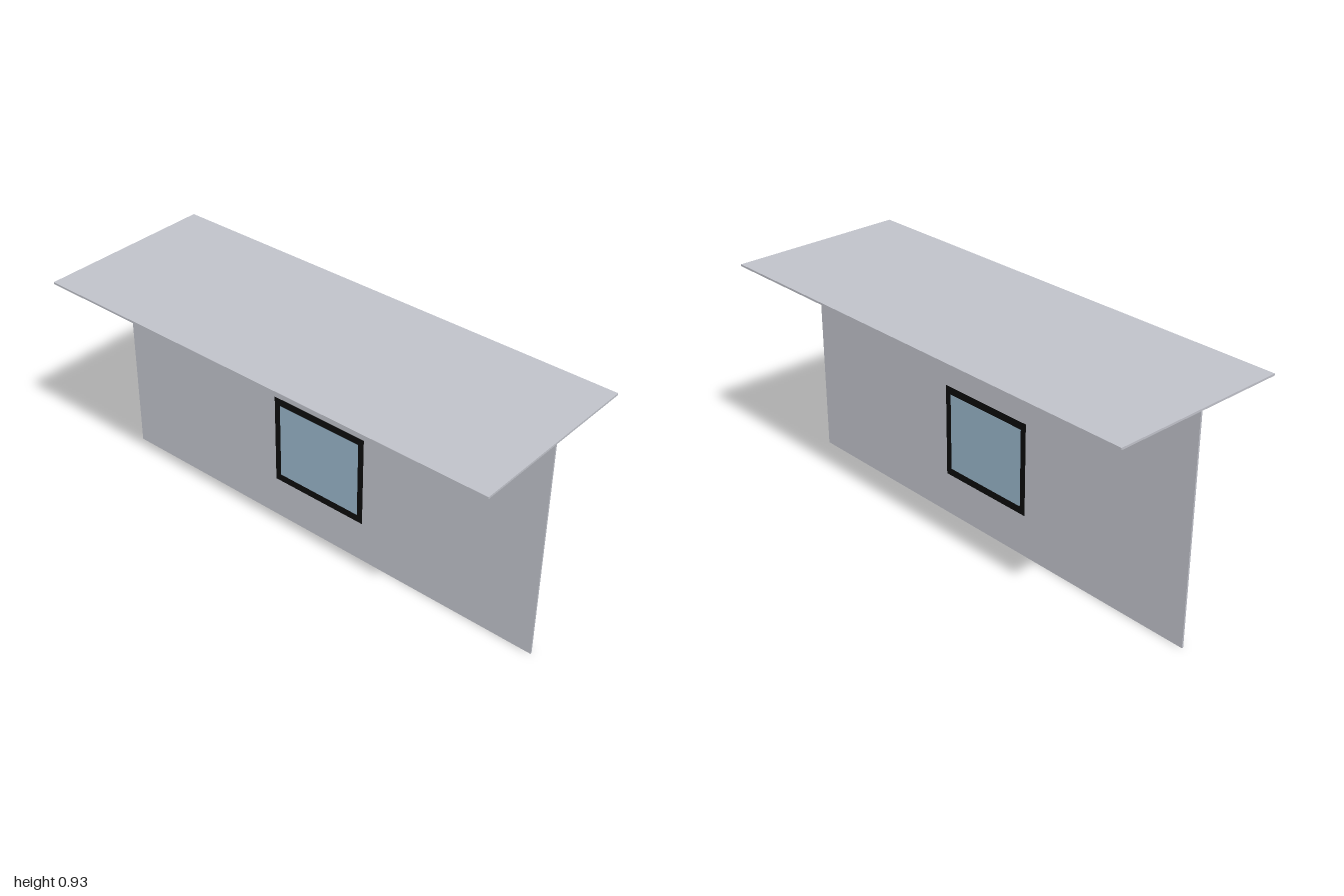
import * as THREE from 'three';

const material = (name, color) => {
  const m = new THREE.MeshStandardMaterial({ color });
  m.name = name;
  return m;
};

// Rectangular plate with a rectangular opening, centred on z = 0
function framedPlate(outer, inner, depth) {
  const corners = ([x, y0, y1]) => [[-x, y0], [x, y0], [x, y1], [-x, y1]].map(p => new THREE.Vector2(...p));
  const shape = new THREE.Shape(corners(outer));
  shape.holes.push(new THREE.Path(corners(inner).reverse()));
  return new THREE.ExtrudeGeometry(shape, { depth, bevelEnabled: false }).translate(0, 0, -depth / 2);
}

export function createModel() {
  const group = new THREE.Group();
  const panel = material('pale grey panel', 0xc0c2ca);
  const black = material('black frame', 0x0c0c0c);
  const blue = material('blue glass', 0x98b5c9);

  const add = (name, geometry, mat, y = 0) => {
    const mesh = new THREE.Mesh(geometry, mat);
    mesh.name = name;
    mesh.position.y = y;
    group.add(mesh);
  };

  // Half width, bottom and top of each outline
  const wall = [1, 0, 0.92];
  const opening = [0.218, 0.178, 0.566];
  const pane = [0.193, 0.208, 0.535];

  add('wall', framedPlate(wall, opening, 0.007), panel);
  add('roof', new THREE.BoxGeometry(2, 0.008, 0.744), panel, 0.924);

  // Window set into the wall, seen from both sides
  add('windowFrame', framedPlate(opening, pane, 0.009), black);
  add('windowGlass', new THREE.BoxGeometry(2 * pane[0], pane[2] - pane[1], 0.007), blue, (pane[1] + pane[2]) / 2);

  return group;
}
